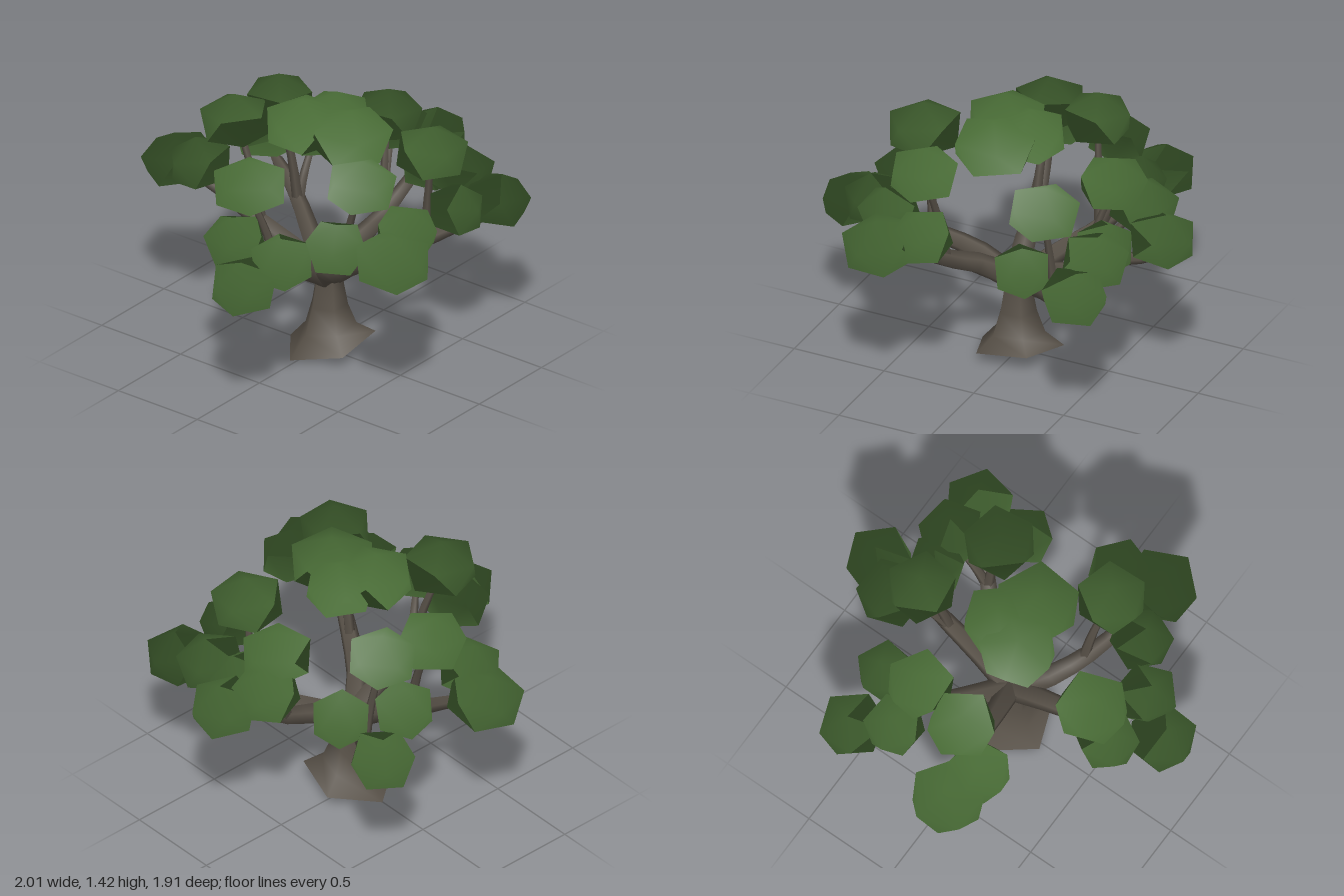
import * as THREE from 'three';
import { mergeVertices } from 'three/addons/utils/BufferGeometryUtils.js';

const bark = new THREE.MeshStandardMaterial({ color: 0x575047 });
bark.name = 'bark';
const foliage = new THREE.MeshStandardMaterial({ color: 0x496c36 });
foliage.name = 'foliage';

const v = (p) => new THREE.Vector3(...p);

function addMesh(parent, name, geometry, material) {
  const mesh = new THREE.Mesh(geometry, material);
  mesh.name = name;
  parent.add(mesh);
  return mesh;
}

// Five-sided tube along a curve, thinning from r0 to r1 and closed at the tip
function limb(points, r0, r1, rings = 6) {
  const curve = new THREE.CatmullRomCurve3(points.map(v));
  const sides = 5;
  const geo = new THREE.TubeGeometry(curve, rings, 1, sides);
  const pos = geo.attributes.position;
  const p = new THREE.Vector3();
  for (let i = 0; i < pos.count; i++) {
    const ring = Math.floor(i / (sides + 1));
    const centre = curve.getPointAt(ring / rings);
    const r = ring === rings ? 0 : THREE.MathUtils.lerp(r0, r1, ring / rings);
    p.fromBufferAttribute(pos, i).sub(centre).multiplyScalar(r).add(centre);
    pos.setXYZ(i, p.x, p.y, p.z);
  }
  return geo;
}

// Five-sided flared trunk whose cut base tilts up towards the front
function trunk(parent) {
  const baseY = 0.04;
  const shape = (profile) => {
    const geo = new THREE.LatheGeometry(profile.map(([r, y]) => new THREE.Vector2(r, y)), 5, 0.66);
    geo.translate(0.01, 0, 0.035);
    geo.deleteAttribute('uv');
    geo.deleteAttribute('normal');
    const pos = geo.attributes.position;
    for (let i = 0; i < pos.count; i++) {
      const x = pos.getX(i), y = pos.getY(i), z = pos.getZ(i);
      const tilt = Math.max(0, 1 - (y - baseY) / 0.2);
      pos.setY(i, Math.max(0, y + tilt * (0.142 * x + 0.187 * z - 0.007)));
    }
    const welded = mergeVertices(geo);
    welded.computeVertexNormals();
    return welded;
  };
  addMesh(parent, 'trunk', shape([[0.235, baseY], [0.14, 0.125], [0.098, 0.25], [0.075, 0.38], [0.062, 0.46]]), bark);
  addMesh(parent, 'trunkBase', shape([[0, baseY], [0.235, baseY]]), bark);
}

// Squat twenty-sided leaf clump with a flattened underside, leaning outwards
// on the low boughs; its normals fan out from the middle of the crown
function clump([x, y, z, r], index) {
  const geo = new THREE.IcosahedronGeometry(1, 0);
  geo.rotateZ(-Math.atan(2 / (1 + Math.sqrt(5))));
  const pos = geo.attributes.position;
  for (let i = 0; i < pos.count; i++) {
    const py = pos.getY(i);
    const inset = py < 0 ? 0.95 : 1;
    pos.setXYZ(i, pos.getX(i) * inset, Math.max(py, -0.56), pos.getZ(i) * inset);
  }
  geo.rotateY(index * 1.7);
  geo.scale(r / 0.89, 0.15, r / 0.89);
  const outward = new THREE.Vector3(z, 0, -x).normalize();
  geo.applyQuaternion(new THREE.Quaternion().setFromAxisAngle(outward, y < 1 ? 0.17 : 0.05));
  geo.translate(x, y - 0.033, z);
  const n = new THREE.Vector3();
  for (let i = 0; i < pos.count; i++) {
    n.fromBufferAttribute(pos, i).sub(v([0, 0.75, 0])).normalize();
    geo.attributes.normal.setXYZ(i, n.x, n.y, n.z);
  }
  return geo;
}

export function createModel() {
  const tree = new THREE.Group();
  tree.name = 'tree';
  trunk(tree);

  // Main boughs: path after the fork, then the ends of the upright twigs
  const boughs = [
    { name: 'leftBough', path: [[-0.2, 0.53, 0.04], [-0.43, 0.6, 0.07], [-0.62, 0.66, 0.1], [-0.82, 0.65, 0.15]],
      twigs: [[-0.56, 1.1, -0.03], [-0.63, 0.82, 0.25]] },
    { name: 'frontLeftBough', path: [[-0.13, 0.52, 0.14], [-0.24, 0.61, 0.31], [-0.33, 0.75, 0.5], [-0.39, 0.87, 0.74]],
      twigs: [[-0.29, 1.15, 0.47]] },
    { name: 'frontRightBough', path: [[0.2, 0.5, 0.18], [0.38, 0.57, 0.36], [0.5, 0.65, 0.5], [0.63, 0.69, 0.62]],
      twigs: [[0.35, 1.06, 0.42], [0.6, 0.85, 0.36]] },
    { name: 'rightBough', path: [[0.2, 0.52, 0.05], [0.4, 0.59, 0.07], [0.6, 0.71, 0.08], [0.83, 0.76, 0.06]],
      twigs: [[0.53, 1.06, 0], [0.66, 0.95, -0.07]] },
    { name: 'backRightBough', path: [[0.14, 0.51, -0.18], [0.27, 0.59, -0.36], [0.36, 0.67, -0.52], [0.45, 0.71, -0.7]],
      twigs: [[0.22, 1.12, -0.44], [0.46, 0.87, -0.4]] },
    { name: 'backBough', path: [[-0.04, 0.53, -0.15], [-0.07, 0.62, -0.32], [-0.12, 0.75, -0.52], [-0.19, 0.86, -0.73]],
      twigs: [[-0.06, 1.12, -0.48]] },
  ];
  for (const { name, path, twigs } of boughs) {
    const group = new THREE.Group();
    group.name = name;
    addMesh(group, 'bough', limb([[0, 0.41, 0.03], ...path], 0.066, 0.026, 8), bark);
    const [fx, fy, fz] = path[1];
    for (const [x, y, z] of twigs) {
      const bend = [fx + (x - fx) * 0.35, fy + (y - fy) * 0.45, fz + (z - fz) * 0.35];
      addMesh(group, 'twig', limb([[fx, fy - 0.02, fz], bend, [x, y, z]], 0.03, 0.014), bark);
    }
    tree.add(group);
  }

  // Leaf clumps: centre x, y, z and radius
  const clumps = [
    // back
    [-0.18, 0.91, -0.76, 0.19], [-0.24, 0.97, -0.58, 0.16], [-0.07, 1.17, -0.49, 0.175],
    // back right
    [0.22, 1.18, -0.44, 0.17], [0.24, 0.98, -0.63, 0.15], [0.45, 0.81, -0.7, 0.165], [0.46, 0.9, -0.4, 0.145],
    // crown top
    [-0.09, 1.3, -0.04, 0.195], [0.08, 1.29, 0.03, 0.18], [-0.03, 1.29, 0.21, 0.21],
    // left
    [-0.54, 1.14, -0.03, 0.185], [-0.64, 0.87, -0.04, 0.155], [-0.83, 0.76, 0.16, 0.17], [-0.66, 0.86, 0.27, 0.155],
    // front left
    [-0.48, 0.93, 0.47, 0.155], [-0.29, 1.2, 0.48, 0.175], [-0.39, 0.91, 0.76, 0.19], [-0.19, 0.97, 0.69, 0.155],
    // front right
    [0.35, 1.11, 0.42, 0.18], [0.32, 0.86, 0.6, 0.14], [0.62, 0.8, 0.62, 0.17], [0.62, 0.89, 0.39, 0.165],
    [0.59, 0.87, 0.22, 0.145],
    // right
    [0.53, 1.11, 0, 0.175], [0.66, 0.98, -0.07, 0.17], [0.83, 0.9, 0.06, 0.17],
  ];
  const crown = new THREE.Group();
  crown.name = 'crown';
  clumps.forEach((c, i) => addMesh(crown, 'leafClump', clump(c, i), foliage));
  tree.add(crown);
  return tree;
}
